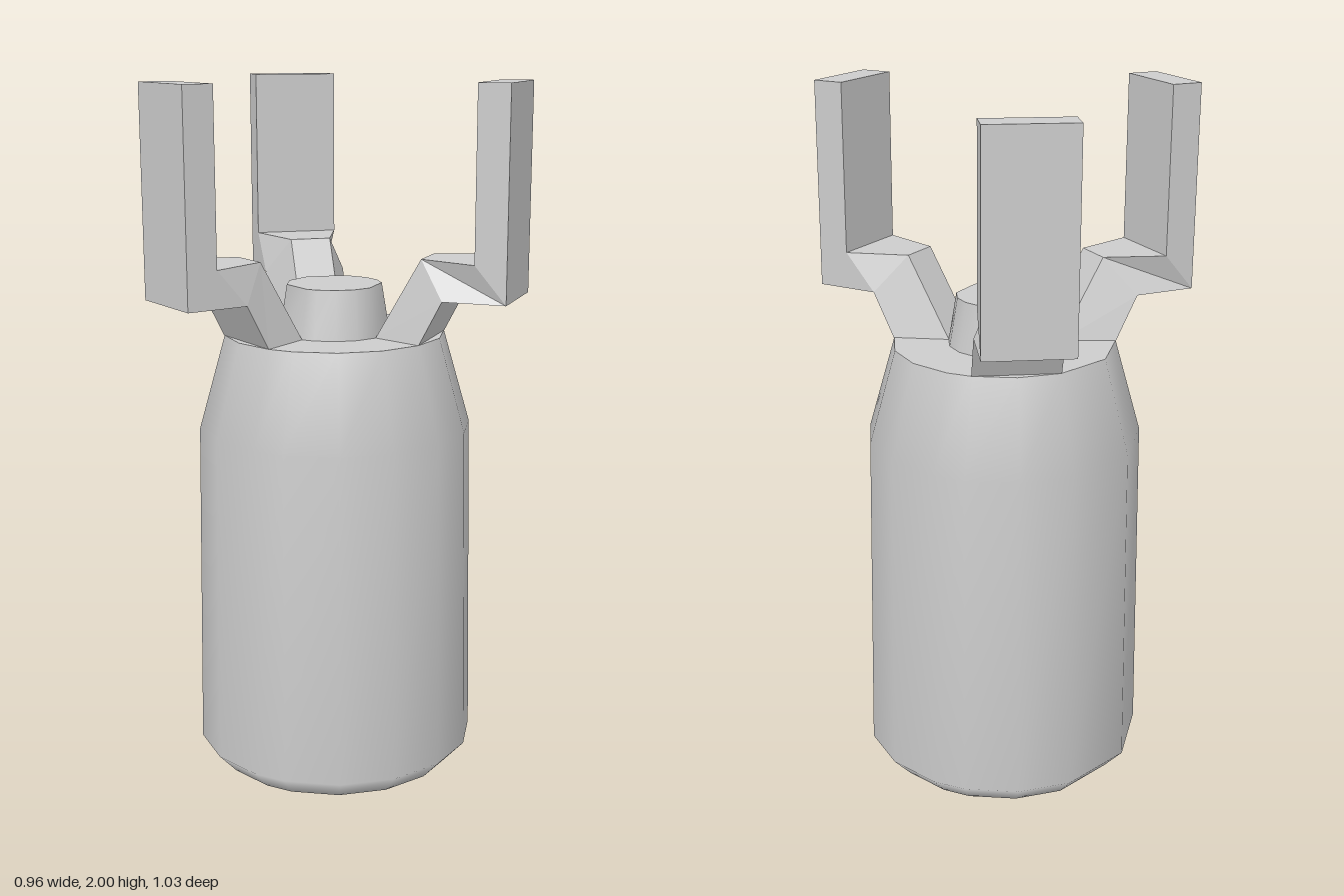
import * as THREE from 'three';

const ARM_ANGLE = 125.5;
const HALF = 22.25; // half the sector that each arm takes up
const rad = THREE.MathUtils.degToRad;

// Corner angles around the axis; the narrow neck has flats where the arms start.
const half = [HALF, 45, 67.5, 90, ARM_ANGLE - HALF, ARM_ANGLE + HALF];
const neckAngles = [...half, 180, ...half.map(a => 360 - a).reverse()];
const bodyAngles = [0, ...neckAngles, ARM_ANGLE, 360 - ARM_ANGLE].sort((a, b) => a - b);

// Lofts [radius, y] rings upward through the given corner angles, smooth shaded.
function loft(rings, angles) {
  const pos = [], index = [], n = angles.length;
  for (const [r, y] of rings)
    for (const a of angles) pos.push(r * Math.cos(rad(a)), y, -r * Math.sin(rad(a)));
  for (let j = 0; j < rings.length - 1; j++)
    for (let i = 0; i < n; i++) {
      const a = j * n + i, b = j * n + (i + 1) % n;
      index.push(a, b, b + n, a, b + n, a + n);
    }
  const geo = new THREE.BufferGeometry();
  geo.setAttribute('position', new THREE.Float32BufferAttribute(pos, 3));
  geo.setIndex(index);
  geo.computeVertexNormals();
  return geo;
}

// Bent prong: four-cornered sections, each [x, y, halfWidth] for its inner and outer edge.
function armGeometry(reach) {
  const sections = [
    [[0.148, 1.29, 0.06], [0.295, 1.29, 0.122]],
    [[0.28, 1.52, 0.06], [0.36, 1.415, 0.122]],
    [[reach - 0.09, 1.52, 0.122], [reach, 1.415, 0.122]],
    [[reach - 0.09, 2, 0.122], [reach, 2, 0.122]],
  ].map(([t, b]) => [
    [t[0], t[1], -t[2]], [t[0], t[1], t[2]], [b[0], b[1], b[2]], [b[0], b[1], -b[2]],
  ]);
  const pos = [];
  const quad = (a, b, c, d) => pos.push(...a, ...b, ...c, ...a, ...c, ...d);
  for (let s = 0; s < 3; s++)
    for (let k = 0; k < 4; k++) {
      const m = (k + 1) % 4;
      quad(sections[s][k], sections[s][m], sections[s + 1][m], sections[s + 1][k]);
    }
  quad(...sections[3]);
  const geo = new THREE.BufferGeometry();
  geo.setAttribute('position', new THREE.Float32BufferAttribute(pos, 3));
  geo.computeVertexNormals();
  return geo;
}

export function createModel() {
  const group = new THREE.Group();
  const grey = new THREE.MeshStandardMaterial({ color: 0xcccccc });
  grey.name = 'light grey';
  const add = (name, geo) => {
    const mesh = new THREE.Mesh(geo, grey);
    mesh.name = name;
    mesh.position.set(-0.06, 0, 0.0075);
    group.add(mesh);
    return mesh;
  };

  // Main canister with chamfered base and sloping shoulder
  add('body', loft([[0, 0], [0.355, 0], [0.41, 0.06], [0.395, 1.02], [0.318, 1.29]], bodyAngles));
  add('shoulderTop', loft([[0.318, 1.29], [0, 1.29]], bodyAngles));

  // Stub in the middle of the top
  add('neck', loft([[0.16, 1.29], [0.137, 1.43]], neckAngles));
  add('neckTop', loft([[0.137, 1.43], [0, 1.43]], neckAngles));

  // Three upright prongs
  for (const [name, angle, reach] of [
    ['leftArm', 0, 0.54], ['backRightArm', ARM_ANGLE, 0.553], ['frontRightArm', -ARM_ANGLE, 0.54],
  ]) add(name, armGeometry(reach)).rotation.y = rad(angle);

  return group;
}
